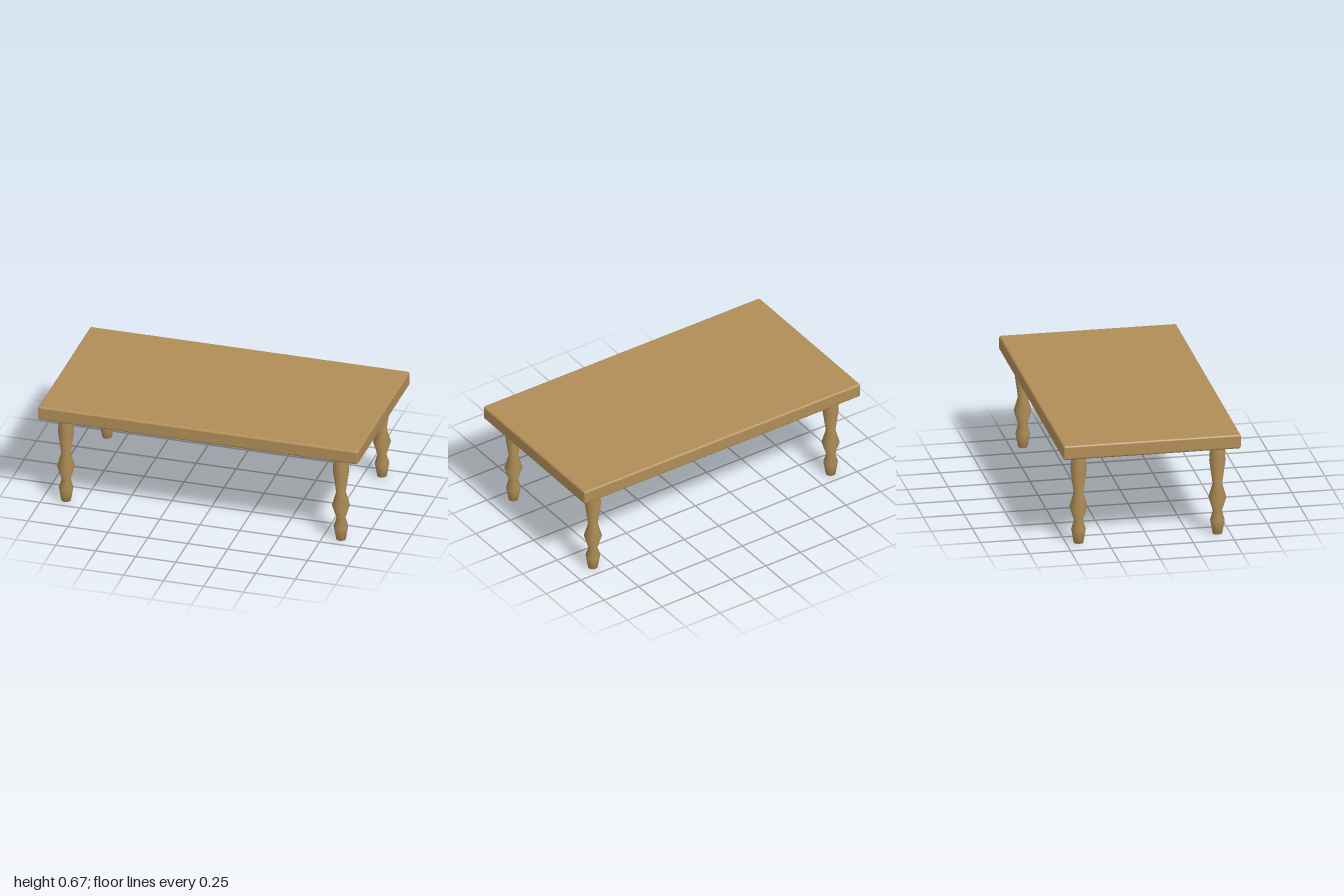
import * as THREE from 'three';
import { RoundedBoxGeometry } from 'three/addons/geometries/RoundedBoxGeometry.js';

export function createModel() {
  const table = new THREE.Group();
  table.name = 'table';
  const wood = new THREE.MeshStandardMaterial({ color: 0xb08d57 });

  // Slab with softly rounded edges
  const top = new THREE.Mesh(new RoundedBoxGeometry(2, 0.09, 1.084, 3, 0.013), wood);
  top.name = 'tableTop';
  top.position.y = 0.622;
  table.add(top);

  // Turned leg profile: radius, height
  const profile = [
    [0, 0], [0.029, 0], [0.044, 0.087], [0.027, 0.143], [0.054, 0.23],
    [0.029, 0.317], [0.049, 0.463], [0.041, 0.58],
  ].map(([r, y]) => new THREE.Vector2(r, y));
  const legGeometry = new THREE.LatheGeometry(profile, 24);

  // One leg near each corner
  for (const [zName, z] of [['front', 0.424], ['back', -0.424]]) {
    for (const [xName, x] of [['Left', 0.86], ['Right', -0.86]]) {
      const leg = new THREE.Mesh(legGeometry, wood);
      leg.name = `${zName}${xName}Leg`;
      leg.position.set(x, 0, z);
      table.add(leg);
    }
  }
  return table;
}
